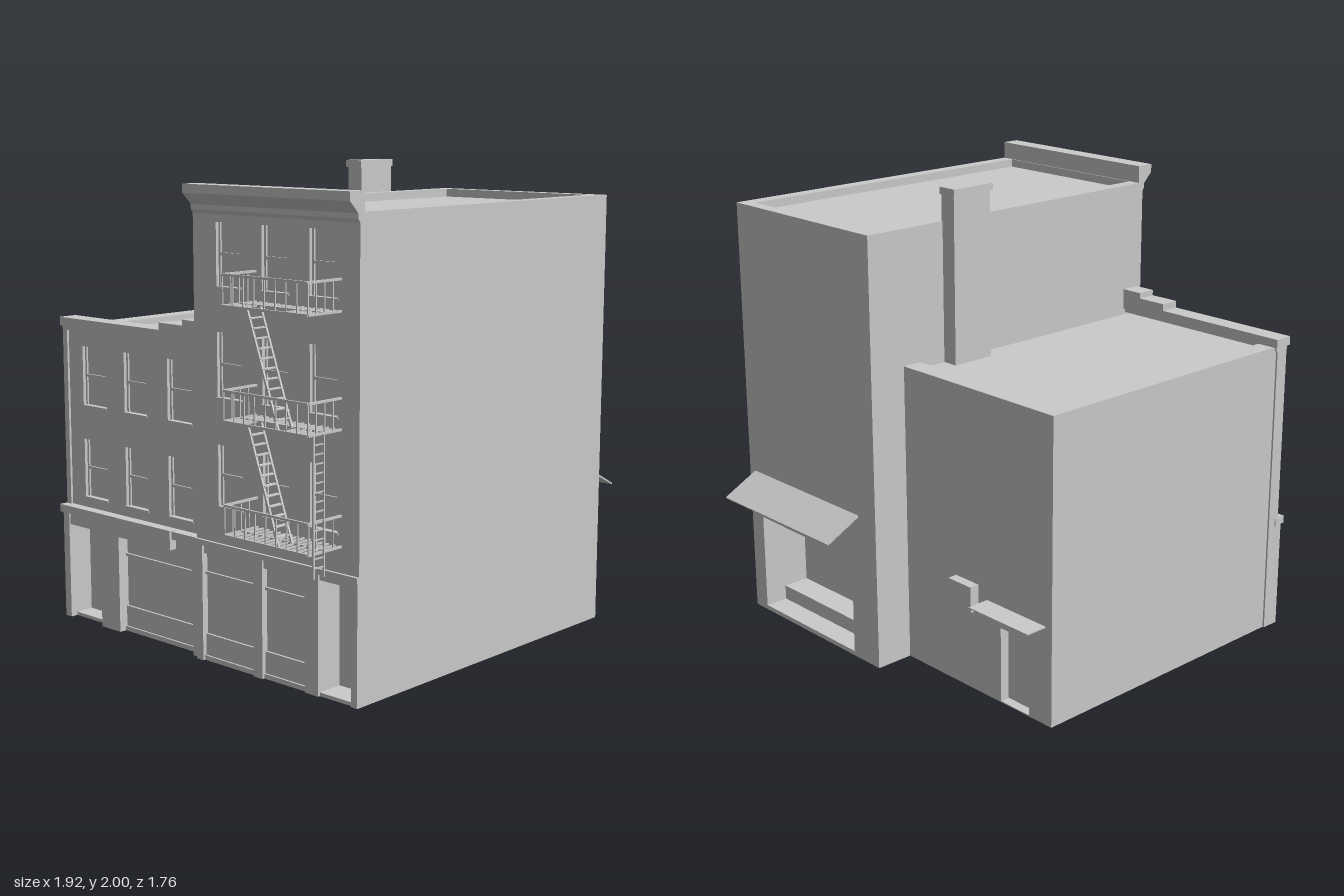
import * as THREE from 'three';

const mat = new THREE.MeshStandardMaterial({ color: 0xcccccc, flatShading: true, side: THREE.DoubleSide });

export function createModel() {
  const root = new THREE.Group();

  const add = (name, geo, parent = root) => {
    const m = new THREE.Mesh(geo, mat);
    m.name = name;
    parent.add(m);
    return m;
  };
  const group = (name) => {
    const g = new THREE.Group();
    g.name = name;
    root.add(g);
    return g;
  };
  // box from its min and max on each axis
  const box = (name, x0, x1, y0, y1, z0, z1, parent) => {
    const m = add(name, new THREE.BoxGeometry(x1 - x0, y1 - y0, z1 - z0), parent);
    m.position.set((x0 + x1) / 2, (y0 + y1) / 2, (z0 + z1) / 2);
    return m;
  };
  // thin square bar between two points
  const bar = (name, a, b, t, parent) => {
    const p = new THREE.Vector3(...a), q = new THREE.Vector3(...b);
    const m = add(name, new THREE.BoxGeometry(t, t, p.distanceTo(q)), parent);
    m.position.copy(p).lerp(q, 0.5);
    m.lookAt(q);
    return m;
  };
  // wall across z and y, from x0 to x1, with rectangular holes [z0, z1, y0, y1]
  const sideWall = (name, x0, x1, z0, z1, h, holes) => {
    const rect = (P, [a, b, c, d]) => {
      const s = new P();
      s.moveTo(a, c); s.lineTo(b, c); s.lineTo(b, d); s.lineTo(a, d); s.closePath();
      return s;
    };
    const s = rect(THREE.Shape, [z0, z1, 0, h]);
    holes.forEach((r) => s.holes.push(rect(THREE.Path, r)));
    const g = new THREE.ExtrudeGeometry(s, { depth: x1 - x0, bevelEnabled: false });
    g.rotateY(-Math.PI / 2);
    g.translate(x1, 0, 0);
    return add(name, g);
  };
  const grid = (cols, rows) => rows.flatMap(([c, d]) => cols.map(([a, b]) => [a, b, c, d]));

  // openings
  const tallWindows = grid([[0.13, 0.27], [0.38, 0.52], [0.63, 0.77]], [[0.66, 0.91], [1.1, 1.36], [1.54, 1.79]]);
  const lowWindows = grid([[-0.75, -0.6], [-0.48, -0.34], [-0.21, -0.065]], [[0.555, 0.81], [0.96, 1.215]]);
  const tallShops = [[0.04, 0.33, 0.02, 0.45], [0.38, 0.61, 0.02, 0.45]];
  const lowShop = [-0.5, -0.04, 0.02, 0.42];
  const tallEntry = [0.68, 0.85, 0.015, 0.46];
  const lowEntry = [-0.83, -0.62, 0.015, 0.44];
  const dock = [0.165, 0.8, 0.02, 0.45];
  const sideDoor = [-0.735, -0.57, 0.005, 0.33];

  // tall block: open-bottomed shell
  sideWall('tallStreetWall', -0.78, -0.75, 0, 0.88, 1.86, [...tallWindows, ...tallShops, tallEntry]);
  sideWall('tallYardWall', 0.765, 0.795, 0, 0.88, 1.86, [dock]);
  box('tallFrontWall', -0.78, 0.795, 0, 1.86, 0.85, 0.88);
  box('tallBackWall', -0.78, 0.795, 1.2, 1.86, 0, 0.03);
  box('tallBackReturn', 0.6, 0.795, 0, 1.2, 0, 0.03);
  box('tallRoof', -0.77, 0.78, 1.80, 1.825, 0.01, 0.87);
  box('tallParapetFront', -0.755, 0.795, 1.8, 1.86, 0.82, 0.88);
  box('tallParapetBack', -0.755, 0.795, 1.8, 1.86, 0, 0.055);
  box('tallParapetYard', 0.74, 0.795, 1.8, 1.86, 0.055, 0.82);

  // low block: open-bottomed shell
  sideWall('lowStreetWall', -0.74, -0.71, -0.86, 0, 1.295, [...lowWindows, lowShop, lowEntry]);
  sideWall('lowYardWall', 0.595, 0.625, -0.86, 0, 1.295, [sideDoor]);
  box('lowBackWall', -0.74, 0.625, 0, 1.295, -0.86, -0.83);
  box('lowRoof', -0.73, 0.61, 1.245, 1.268, -0.85, 0);
  box('lowParapetBack', -0.67, 0.625, 1.245, 1.295, -0.86, -0.78);
  box('lowParapetYard', 0.54, 0.625, 1.245, 1.295, -0.78, 0);

  // cornices
  const profile = new THREE.Shape([[-0.755, 1.82], [-0.755, 1.935], [-0.835, 1.935], [-0.835, 1.9],
    [-0.79, 1.855], [-0.79, 1.835], [-0.78, 1.82]].map((p) => new THREE.Vector2(...p)));
  add('tallCornice', new THREE.ExtrudeGeometry(profile, { depth: 0.88, bevelEnabled: false }));
  box('lowCornice', -0.755, -0.67, 1.295, 1.332, -0.88, 0);
  box('lowCorniceBed', -0.75, -0.68, 1.278, 1.295, -0.87, 0);
  box('lowCorniceStep', -0.755, -0.67, 1.332, 1.362, -0.24, -0.1);
  box('lowCorniceTop', -0.755, -0.67, 1.332, 1.386, -0.1, 0);
  box('cornerPilaster', -0.75, -0.69, 0, 1.28, -0.868, -0.84);

  // chimney on the back of the tall block
  box('chimney', 0.212, 0.408, 1.25, 1.97, -0.07, 0.005);
  box('chimneyCap', 0.205, 0.415, 1.97, 2, -0.08, 0.008);

  // sash windows
  const sash = (x, [z0, z1, y0, y1]) => {
    const g = group('window');
    box('pane', x + 0.022, x + 0.03, y0, y1, z0, z1, g);
    const m = (y0 + y1) / 2;
    box('sashRail', x + 0.014, x + 0.024, m - 0.006, m + 0.006, z0, z1, g);
    box('sill', x - 0.004, x + 0.02, y0 - 0.008, y0, z0 - 0.005, z1 + 0.005, g);
    for (const z of [z0, z1 - 0.01]) box('stile', x + 0.014, x + 0.024, y0, y1, z, z + 0.01, g);
  };
  tallWindows.forEach((w) => sash(-0.78, w));
  lowWindows.forEach((w) => sash(-0.74, w));

  // shopfronts with bulkhead and transom
  const shop = (x, [z0, z1, y0, y1]) => {
    const g = group('shopfront');
    box('glass', x + 0.018, x + 0.028, y0, y1, z0, z1, g);
    box('bulkhead', x + 0.008, x + 0.02, y0, y0 + 0.09, z0, z1, g);
    box('transom', x + 0.008, x + 0.02, y1 - 0.09, y1 - 0.078, z0, z1, g);
  };
  tallShops.forEach((s) => shop(-0.78, s));
  shop(-0.74, lowShop);

  // recess lined on all sides; dir is the way inward along x
  const recess = (name, x, depth, dir, [z0, z1, y0, y1]) => {
    const g = group(name), t = 0.006, e = x + dir * depth;
    const a = Math.min(x, e), b = Math.max(x, e);
    box('floor', a, b, y0 - t, y0, z0, z1, g);
    box('ceiling', a, b, y1, y1 + t, z0, z1, g);
    box('cheek', a, b, y0, y1, z0 - t, z0, g);
    box('cheek', a, b, y0, y1, z1, z1 + t, g);
    box('door', e - t / 2, e + t / 2, y0, y1, z0, z1, g);
  };
  recess('tallEntry', -0.775, 0.11, 1, tallEntry);
  recess('lowEntry', -0.735, 0.08, 1, lowEntry);
  recess('sideDoor', 0.62, 0.04, -1, sideDoor);

  // shopfront pillars, bands and sign
  for (const [a, b] of [[0, 0.04], [0.33, 0.38], [0.61, 0.68], [0.85, 0.88]]) {
    box('tallPillar', -0.79, -0.77, 0, 0.485, a, b);
  }
  box('tallBand', -0.792, -0.77, 0.485, 0.508, 0, 0.88);
  for (const [a, b] of [[-0.868, -0.83], [-0.62, -0.5], [-0.04, 0]]) {
    box('lowPillar', -0.772, -0.73, 0, 0.47, a, b);
  }
  box('lowFascia', -0.765, -0.73, 0.42, 0.475, -0.86, 0);
  box('lowBand', -0.787, -0.73, 0.475, 0.508, -0.872, 0);
  box('signBoard', -0.798, -0.765, 0.43, 0.512, -0.475, -0.145);

  // loading bay: low apron, then a raised and deeper pocket
  const [d0, d1] = dock;
  recess('bayPocket', 0.69, 0.12, -1, [d0, d1, 0.085, 0.375]);
  box('bayApron', 0.69, 0.79, 0.012, 0.02, d0, d1);
  box('bayCeiling', 0.69, 0.79, 0.45, 0.456, d0, d1);
  box('bayRiser', 0.685, 0.692, 0.012, 0.085, d0, d1);
  box('bayHeader', 0.685, 0.692, 0.375, 0.456, d0, d1);
  for (const z of [d0 - 0.006, d1]) box('bayCheek', 0.685, 0.79, 0.012, 0.456, z, z + 0.006);

  // awnings and vent box on the yard side
  const slope = new THREE.Shape([[0.79, 0.653], [0.795, 0.66], [0.957, 0.576], [0.955, 0.57]]
    .map((p) => new THREE.Vector2(...p)));
  add('bayAwning', new THREE.ExtrudeGeometry(slope, { depth: 0.73, bevelEnabled: false })).position.z = 0.113;
  box('doorCanopy', 0.62, 0.725, 0.42, 0.426, -0.825, -0.49);
  box('ventBox', 0.62, 0.668, 0.365, 0.476, -0.44, -0.305);

  // fire escape
  const fe = group('fireEscape');
  const X0 = -0.957, X1 = -0.78, Z0 = 0.348, Z1 = 0.788, levels = [0.61, 1.055, 1.495];
  levels.forEach((y, i) => {
    for (const h of [0, 0.118]) {
      bar('frontRail', [X0, y + h, Z0], [X0, y + h, Z1], 0.009, fe);
      for (const z of [Z0, Z1]) bar('endRail', [X0, y + h, z], [X1, y + h, z], 0.009, fe);
    }
    bar('floorBeam', [-0.868, y, Z0], [-0.868, y, Z1], 0.009, fe);
    // slats leave a stair opening on the upper levels
    for (let k = 0; k <= 14; k++) {
      const z = Z0 + (Z1 - Z0) * k / 14;
      const open = i > 0 && z > 0.47 && z < 0.64;
      bar('slat', [open ? -0.868 : X0, y, z], [X1, y, z], 0.007, fe);
    }
    for (let k = 0; k <= 8; k++) {
      const z = Z0 + (Z1 - Z0) * k / 8;
      bar('post', [X0, y, z], [X0, y + 0.118, z], 0.005, fe);
    }
    for (const x of [-0.915, -0.87, -0.825]) {
      for (const z of [Z0, Z1]) bar('post', [x, y, z], [x, y + 0.118, z], 0.005, fe);
    }
    // steep stair to the next level
    if (i < 2) {
      const top = levels[i + 1];
      for (const x of [-0.95, -0.878]) bar('stringer', [x, y, 0.63], [x, top, 0.47], 0.009, fe);
      for (let k = 1; k < 12; k++) {
        const t = k / 12, zc = 0.63 - 0.16 * t, yc = y + (top - y) * t;
        box('tread', -0.95, -0.878, yc - 0.002, yc + 0.002, zc - 0.01, zc + 0.01, fe);
      }
    }
  });

  // drop ladder on the end of the fire escape
  for (const x of [-0.945, -0.89]) bar('ladderRail', [x, 0.52, 0.803], [x, 1.055, 0.803], 0.007, fe);
  for (let k = 0; k < 14; k++) {
    const y = 0.56 + k * 0.0355;
    bar('rung', [-0.945, y, 0.803], [-0.89, y, 0.803], 0.005, fe);
  }

  return root;
}
